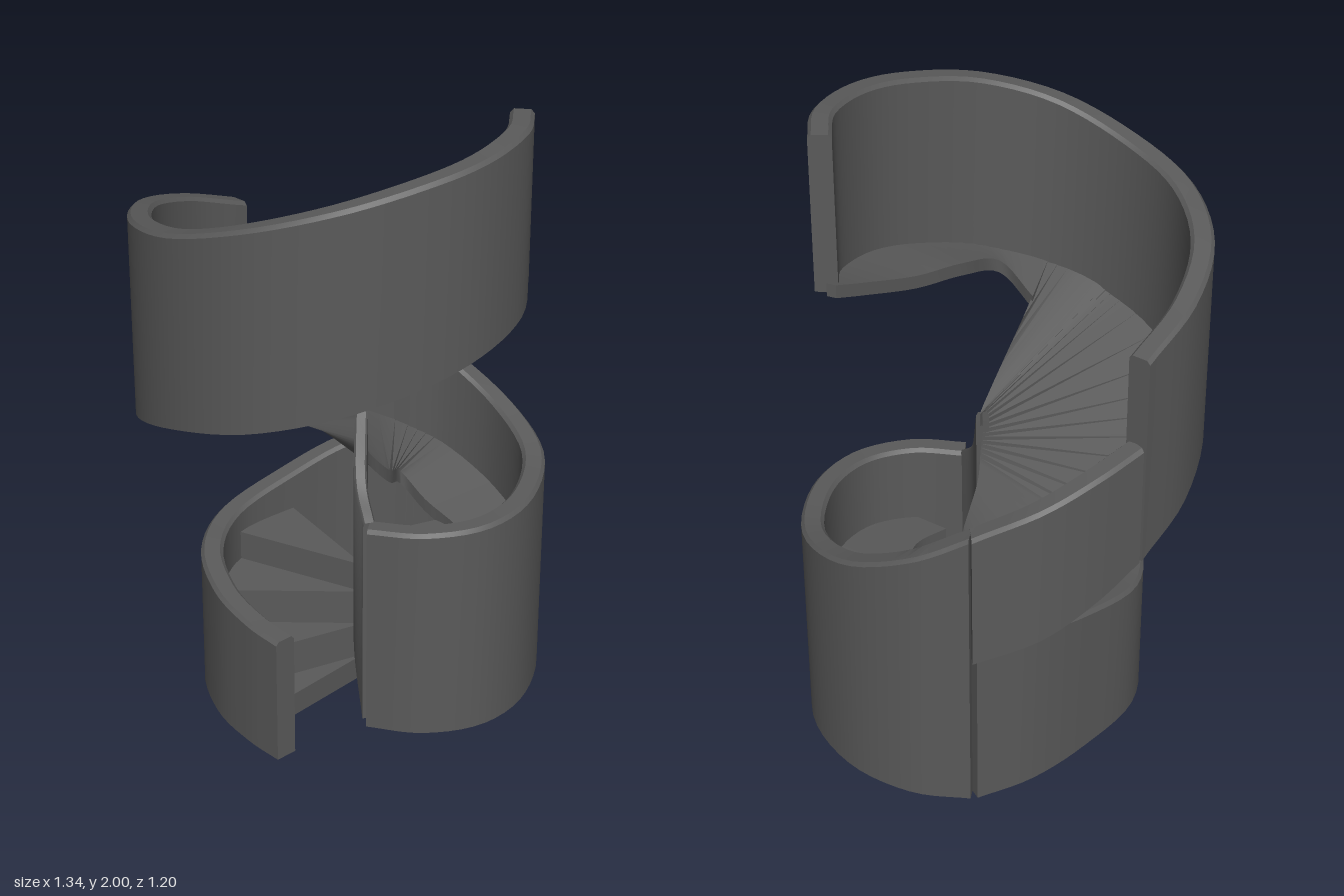
import * as THREE from 'three';
import { toCreasedNormals } from 'three/addons/utils/BufferGeometryUtils.js';

const plaster = new THREE.MeshStandardMaterial({ color: 0x5a5a5a });
plaster.name = 'dark grey';

// Closed solid through a list of equal cross-section loops
function loft(name, sections) {
  const n = sections[0].length, last = (sections.length - 1) * n;
  const pts = sections.flat(), index = [];
  for (let s = 0; s < sections.length - 1; s++) {
    for (let k = 0; k < n; k++) {
      const a = s * n + k, b = s * n + (k + 1) % n;
      index.push(a, b, a + n, b, b + n, a + n);
    }
  }
  for (let k = 1; k < n - 1; k++) {
    index.push(0, k + 1, k, last, last + k, last + k + 1);
  }
  // Make all faces point outwards
  let volume = 0;
  for (let i = 0; i < index.length; i += 3) {
    const [a, b, c] = [0, 1, 2].map((j) => pts[index[i + j]]);
    volume += a.dot(b.clone().cross(c));
  }
  if (volume < 0) index.reverse();
  const g = new THREE.BufferGeometry().setFromPoints(pts);
  g.setIndex(index);
  const mesh = new THREE.Mesh(toCreasedNormals(g, 0.7), plaster);
  mesh.name = name;
  return mesh;
}

const curve = (pts) => new THREE.CatmullRomCurve3(pts, false, 'catmullrom', 0.5);

// Upright curved wall; rows are [x, z, bottom, top] along its centre line
function wall(name, rows, thickness = 0.072) {
  const low = curve(rows.map(([x, z, b]) => new THREE.Vector3(x, b, z)));
  const high = curve(rows.map(([x, z, , t]) => new THREE.Vector3(x, t, z)));
  const sections = [], steps = (rows.length - 1) * 5, h = thickness / 2;
  for (let i = 0; i <= steps; i++) {
    const p = low.getPoint(i / steps), q = high.getPoint(i / steps);
    const d = low.getTangent(i / steps).setY(0).normalize();
    const at = (side, y) => new THREE.Vector3(p.x + d.z * side, y, p.z - d.x * side);
    sections.push([at(-h, p.y), at(h, p.y), at(h, q.y - 0.012), at(h * 0.7, q.y),
      at(-h * 0.7, q.y), at(-h, q.y - 0.012)]);
  }
  return loft(name, sections);
}

// Winding slab; rows are [outer x, z, y, inner x, z, y]
function slab(name, rows, depth) {
  const outer = curve(rows.map(([x, z, y]) => new THREE.Vector3(x, y, z)));
  const inner = curve(rows.map((r) => new THREE.Vector3(r[3], r[5], r[4])));
  const sections = [], steps = (rows.length - 1) * 5;
  for (let i = 0; i <= steps; i++) {
    const o = outer.getPoint(i / steps), n = inner.getPoint(i / steps);
    const drop = (v) => v.clone().setY(v.y - depth);
    sections.push([o, n, drop(n), drop(o)]);
  }
  return loft(name, sections);
}

// Flat plate with an outline of [x, z] corners
const plate = (name, outline, y0, y1) => loft(name,
  [y0, y1].map((y) => outline.map(([x, z]) => new THREE.Vector3(x, y, z))));

export function createModel() {
  const group = new THREE.Group();
  group.name = 'spiralStaircase';

  // Tall wall from the entrance round the front to the side
  group.add(wall('frontWall', [
    [-0.13, 0.26, 0, 0.72], [-0.02, 0.4, 0, 0.725], [0.15, 0.478, 0, 0.73],
    [0.35, 0.44, 0, 0.74], [0.55, 0.28, 0, 0.76], [0.63, 0.05, 0, 0.82],
    [0.6, -0.17, 0, 0.92], [0.5, -0.33, 0, 1.02],
  ]));
  // The wall lifts off the ground as it goes round the back
  group.add(wall('risingWall', [
    [0.5, -0.33, 0.55, 1.02], [0.36, -0.46, 0.62, 1.1],
    [0.2, -0.53, 0.7, 1.16], [0.03, -0.565, 0.78, 1.2],
  ]));
  // Upper parapet, one step higher
  group.add(wall('upperParapet', [
    [0.03, -0.565, 0.78, 1.5], [-0.2, -0.545, 0.87, 1.58], [-0.42, -0.44, 0.97, 1.65],
    [-0.58, -0.24, 1.05, 1.7], [-0.632, 0, 1.13, 1.75], [-0.58, 0.25, 1.2, 1.83],
    [-0.42, 0.44, 1.27, 1.9], [-0.2, 0.54, 1.33, 1.95], [0, 0.565, 1.38, 1.98],
    [0.2, 0.51, 1.42, 2], [0.33, 0.4, 1.47, 2],
  ]));
  // Low wall round the back to the entrance
  group.add(wall('lowBackWall', [
    [0.5, -0.33, 0, 0.62], [0.32, -0.4, 0, 0.6], [0.1, -0.425, 0, 0.55],
    [-0.15, -0.41, 0, 0.5], [-0.33, -0.28, 0, 0.48], [-0.43, -0.08, 0, 0.46],
    [-0.455, 0.1, 0, 0.44], [-0.45, 0.24, 0, 0.43],
  ]));
  // Inner wall climbing to the centre
  group.add(wall('newelWall', [
    [-0.12, 0.25, 0, 0.72], [-0.07, 0.15, 0.2, 0.82], [0.02, 0.05, 0.4, 1.03],
  ], 0.04));

  // Winding ramp, narrow in front, full width at the back, narrow at the top
  group.add(slab('windingRamp', [
    [0, 0.4, 0.45, -0.02, 0.25, 0.45], [0.15, 0.475, 0.46, 0.1, 0.26, 0.46],
    [0.35, 0.44, 0.47, 0.2, 0.22, 0.47], [0.55, 0.28, 0.48, 0.34, 0.17, 0.48],
    [0.63, 0.05, 0.52, 0.34, 0, 0.53], [0.6, -0.17, 0.6, 0.32, -0.1, 0.6],
    [0.5, -0.33, 0.66, 0.2, -0.02, 0.68], [0.2, -0.53, 0.78, 0.08, 0.02, 0.8],
    [0.03, -0.56, 0.86, 0.03, 0.05, 0.88], [-0.42, -0.44, 1.03, 0.02, 0.05, 0.95],
    [-0.63, 0, 1.18, 0.02, 0.05, 1.02], [-0.6, 0.1, 1.21, 0, 0.06, 1.05],
    [-0.56, 0.27, 1.25, -0.37, 0.18, 1.22],
  ], 0.045));
  group.add(slab('upperLanding', [
    [-0.56, 0.27, 1.25, -0.37, 0.18, 1.22], [-0.42, 0.44, 1.31, -0.38, 0.33, 1.29],
    [-0.2, 0.54, 1.37, -0.2, 0.33, 1.36], [0, 0.565, 1.42, 0, 0.34, 1.4],
    [0.2, 0.51, 1.46, 0.2, 0.36, 1.46], [0.33, 0.4, 1.5, 0.32, 0.37, 1.5],
  ], 0.045));

  // Entrance steps fanning from the centre
  const rim = [[-0.44, 0.1], [-0.43, -0.06], [-0.33, -0.27], [-0.15, -0.4], [0.1, -0.42]];
  [0.08, 0.2, 0.32, 0.42].forEach((h, i) => {
    group.add(plate('step' + (i + 1), [[0.03, 0.05], rim[i], rim[i + 1]], Math.max(0, h - 0.13), h));
  });

  // Small lower tread beside the ramp
  group.add(plate('lowerTread', [[0.1, 0.05], [0.22, 0.01], [0.36, 0.05], [0.35, 0.15],
    [0.29, 0.2], [0.21, 0.2], [0.13, 0.13]], 0.43, 0.47));
  return group;
}
